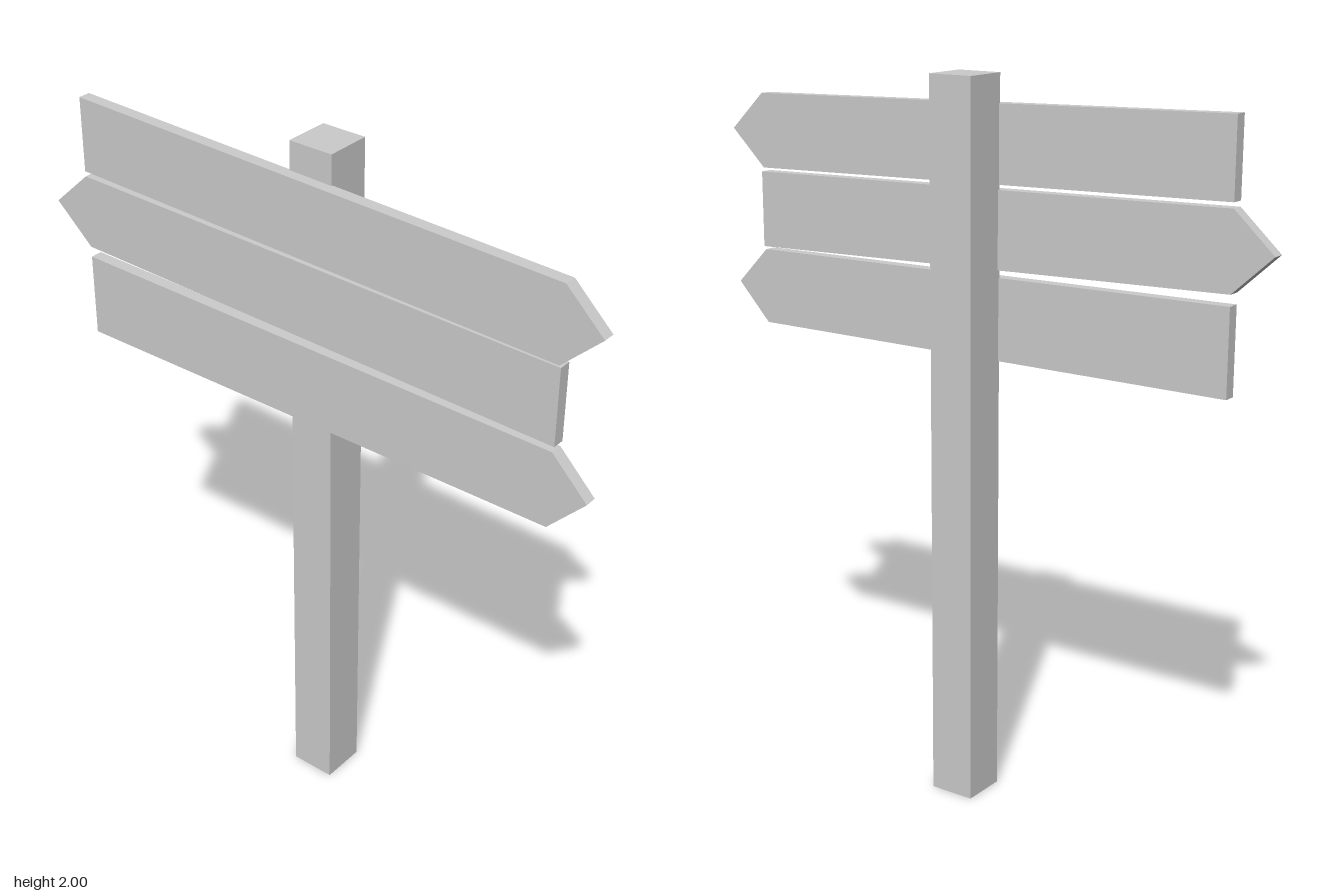
import * as THREE from 'three';

const material = new THREE.MeshStandardMaterial({ color: 0xcccccc, flatShading: true });
const BACK = 0.045, THICKNESS = 0.035;

// Arrow-ended plank cut from an outline; skew shifts depth along x for a slight yaw
function makeBoard(name, outline, skew = 0) {
  const shape = new THREE.Shape(outline.map(([x, y]) => new THREE.Vector2(x, y)));
  const geometry = new THREE.ExtrudeGeometry(shape, { depth: THICKNESS, bevelEnabled: false });
  geometry.translate(0, 0, BACK);
  const p = geometry.attributes.position;
  for (let i = 0; i < p.count; i++) p.setZ(i, p.getZ(i) - skew * (p.getX(i) + 0.865));
  geometry.computeVertexNormals();
  const mesh = new THREE.Mesh(geometry, material);
  mesh.name = name;
  return mesh;
}

export function createModel() {
  const group = new THREE.Group();
  group.name = 'signpost';

  // Square post, standing behind the boards
  const post = new THREE.Mesh(new THREE.BoxGeometry(0.13, 2, 0.13), material);
  post.name = 'post';
  post.position.set(0, 1, -0.016);
  group.add(post);

  // Three direction boards, pointing alternately left, right, left
  group.add(
    makeBoard('topBoard', [[-0.75, 1.73], [0.75, 1.69], [0.86, 1.795], [0.75, 1.9], [-0.75, 1.94]]),
    makeBoard('middleBoard', [[-0.75, 1.505], [0.75, 1.465], [0.75, 1.68], [-0.75, 1.715], [-0.865, 1.61]], 0.005),
    makeBoard('bottomBoard', [[-0.75, 1.24], [0.75, 1.24], [0.855, 1.35], [0.75, 1.455], [-0.75, 1.475]])
  );
  return group;
}
